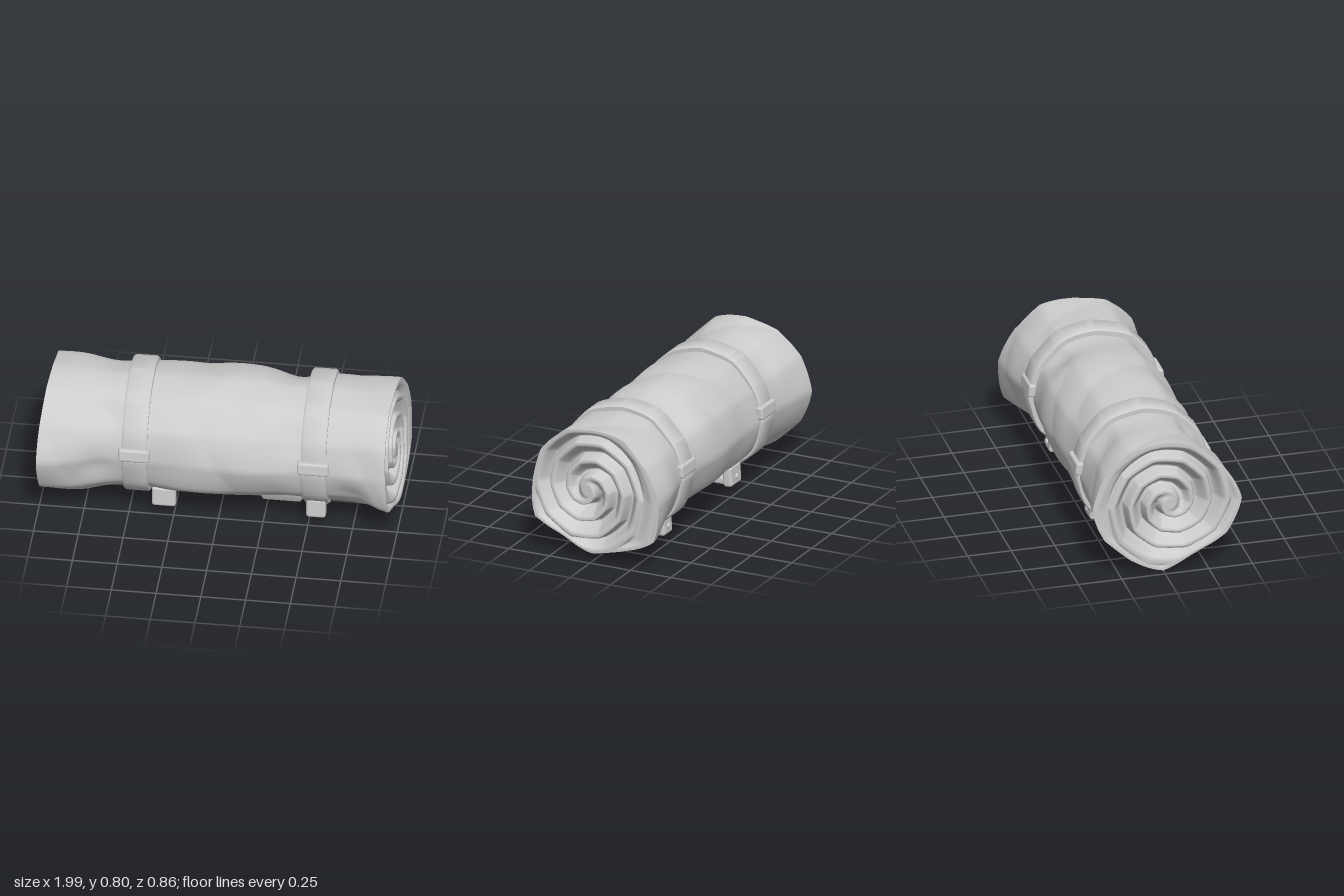
import * as THREE from 'three';
import { toCreasedNormals } from 'three/addons/utils/BufferGeometryUtils.js';
import { RoundedBoxGeometry } from 'three/addons/geometries/RoundedBoxGeometry.js';

const TAU = Math.PI * 2;
const CY = 0.41; // height of the roll's axis
const END = 0.97;
const smooth = THREE.MathUtils.smoothstep;

// Roll cross-sections: [x, radii every 30 degrees: front, up, back, down]
const SECTIONS = [
  [-0.97, [0.435, 0.40, 0.385, 0.37, 0.385, 0.39, 0.40, 0.39, 0.375, 0.41, 0.37, 0.41]],
  [-0.78, [0.40, 0.38, 0.365, 0.355, 0.375, 0.38, 0.375, 0.36, 0.345, 0.34, 0.37, 0.40]],
  [-0.6, [0.345, 0.35, 0.355, 0.345, 0.36, 0.36, 0.36, 0.35, 0.335, 0.325, 0.34, 0.35]],
  [-0.45, [0.345, 0.355, 0.36, 0.35, 0.365, 0.365, 0.36, 0.35, 0.335, 0.315, 0.33, 0.345]],
  [-0.2, [0.36, 0.37, 0.38, 0.365, 0.38, 0.375, 0.37, 0.36, 0.335, 0.305, 0.34, 0.37]],
  [0.2, [0.38, 0.37, 0.375, 0.37, 0.385, 0.385, 0.385, 0.365, 0.335, 0.305, 0.34, 0.36]],
  [0.43, [0.345, 0.35, 0.355, 0.34, 0.355, 0.355, 0.355, 0.35, 0.33, 0.31, 0.33, 0.345]],
  [0.62, [0.345, 0.355, 0.365, 0.355, 0.37, 0.37, 0.37, 0.36, 0.34, 0.32, 0.33, 0.34]],
  [0.8, [0.36, 0.365, 0.365, 0.35, 0.375, 0.385, 0.41, 0.41, 0.37, 0.35, 0.34, 0.36]],
  [0.97, [0.375, 0.38, 0.375, 0.35, 0.375, 0.385, 0.415, 0.45, 0.37, 0.355, 0.335, 0.42]],
];

// Dents in the cloth: [x, angle, depth, size]
const DENTS = [
  [-0.63, 0.8, 0.026, 0.1], [-0.68, -0.15, 0.022, 0.1], [-0.66, 2.4, 0.018, 0.12],
  [0.76, -0.45, 0.026, 0.1], [0.45, 0.55, 0.022, 0.1], [0.02, 0.65, 0.014, 0.14],
  [0.3, -0.5, 0.016, 0.12], [-0.2, 2.6, 0.013, 0.14], [0.4, 2.2, 0.016, 0.1],
];

function cubic(a, b, c, d, t) {
  return b + 0.5 * t * (c - a + t * (2 * a - 5 * b + 4 * c - d + t * (3 * (b - c) + d - a)));
}

// Half rounded, half faceted interpolation between neighbouring radii
function arc(r, k, t) {
  const r0 = r[k % 12], r1 = r[(k + 1) % 12], step = TAU / 12;
  const round = cubic(r[(k + 11) % 12], r0, r1, r[(k + 2) % 12], t);
  const chord = (r0 * r1 * Math.sin(step)) / (r0 * Math.sin(t * step) + r1 * Math.sin((1 - t) * step));
  return round * 0.5 + chord * 0.5;
}

// Radius of the cloth, with soft folds and dents
function rollRadius(theta, x) {
  const a = (((theta / TAU) * 12) % 12 + 12) % 12;
  const k = Math.floor(a);
  const around = (i) => arc(SECTIONS[Math.max(0, Math.min(SECTIONS.length - 1, i))][1], k, a - k);
  let i = 0;
  while (i < SECTIONS.length - 2 && x > SECTIONS[i + 1][0]) i++;
  const t = (x - SECTIONS[i][0]) / (SECTIONS[i + 1][0] - SECTIONS[i][0]);
  let r = cubic(around(i - 1), around(i), around(i + 1), around(i + 2), t);
  for (const [dx, dth, depth, size] of DENTS) {
    const turn = Math.atan2(Math.sin(theta - dth), Math.cos(theta - dth)) * 0.37;
    r -= depth * Math.exp(-((x - dx) ** 2 + turn ** 2) / (size * size));
  }
  const fold = Math.abs(Math.sin(2 * theta + 4 * x + Math.sin(7 * x))) - 0.4;
  return r + 0.007 * fold + 0.004 * Math.sin(5 * theta - 8 * x) * Math.sin(6 * x + theta);
}

// The open ends are cut slightly askew
function slant(theta, side) {
  const c = Math.cos(theta), s = Math.sin(theta);
  return side > 0 ? -0.022 * c - 0.018 * s : -0.005 - 0.02 * c + 0.02 * s * s;
}

// Grid surface closed around u; fn(u, v, j) returns [x, radius, theta]
function ringSurface(nu, nv, fn) {
  const pos = [], index = [];
  for (let i = 0; i < nu; i++) {
    for (let j = 0; j <= nv; j++) {
      const [x, r, th] = fn(i / nu, j / nv, j);
      pos.push(x, CY + r * Math.sin(th), r * Math.cos(th));
      if (j === nv) continue;
      const a = i * (nv + 1) + j;
      const c = ((i + 1) % nu) * (nv + 1) + j;
      index.push(a, a + 1, c, a + 1, c + 1, c);
    }
  }
  const geo = new THREE.BufferGeometry();
  geo.setAttribute('position', new THREE.Float32BufferAttribute(pos, 3));
  geo.setIndex(index);
  geo.computeVertexNormals();
  return geo;
}

function rollSide() {
  return ringSurface(96, 90, (u, v) => {
    const th = u * TAU, s = (v * 2 - 1) * END;
    return [s + slant(th, Math.sign(s)) * Math.pow(Math.abs(s) / END, 5), rollRadius(th, s), th];
  });
}

// Depth of the two interleaved spiral grooves, wound around a point off the axis
function spiralDepth(y, z) {
  const r = Math.hypot(y, z - 0.035);
  const turn = Math.atan2(y, z - 0.035) / TAU + 0.5;
  const facet = (((turn * 10) % 1) - 0.5) * (TAU / 10);
  const p = (r * (0.4 + 0.6 * Math.cos(facet)) * 1.01 - 0.13 - 0.2 * turn) / 0.1;
  const q = p - Math.floor(p);
  const groove = smooth(q, 0, 0.16) * (1 - smooth(q, 0.2, 0.85));
  return 0.08 * groove * smooth(r, 0.03, 0.1) * (1 - smooth(r, 0.28, 0.36) * 0.8);
}

function rollEnd(side) {
  return ringSurface(180, 72, (u, v) => {
    const th = u * TAU, f = side > 0 ? 1 - v : v;
    const r = f * rollRadius(th, side * END);
    const depth = spiralDepth(r * Math.sin(th), r * Math.cos(th)) * (1 - smooth(f, 0.88, 0.97));
    return [side * (END - depth) + slant(th, side) * smooth(f, 0, 1), r, th];
  });
}

// Band that hugs the roll at position x0
function strapBand(x0, w) {
  const profile = [[-w, -0.035], [-w, -0.008], [-w * 0.86, 0], [w * 0.86, 0], [w, -0.008], [w, -0.035]];
  return toCreasedNormals(ringSurface(56, profile.length - 1, (u, v, j) => {
    const th = u * TAU;
    const base = Math.max(rollRadius(th, x0), rollRadius(th, x0 - w), rollRadius(th, x0 + w));
    return [x0 + profile[j][0], base + 0.018 + 0.012 * Math.sin(th) ** 2 + profile[j][1], th];
  }), 0.7);
}

// Block whose underside is narrower than its top
function taperedBlock(w, h, d, taper) {
  const geo = new RoundedBoxGeometry(w, h, d, 2, 0.012);
  const p = geo.attributes.position;
  for (let i = 0; i < p.count; i++) {
    const k = THREE.MathUtils.lerp(taper, 1, p.getY(i) / h + 0.5);
    p.setXYZ(i, p.getX(i) * k, p.getY(i), p.getZ(i) * k);
  }
  return toCreasedNormals(geo, 0.7);
}

export function createModel() {
  const group = new THREE.Group();
  group.name = 'bedroll';
  const grey = new THREE.MeshStandardMaterial({ color: 0xcccccc });
  grey.name = 'plain grey';

  const add = (name, geo, x = 0, y = 0, z = 0, rx = 0) => {
    const mesh = new THREE.Mesh(geo, grey);
    mesh.name = name;
    mesh.position.set(x, y, z);
    mesh.rotation.x = rx;
    group.add(mesh);
  };
  const box = (w, h, d) => new RoundedBoxGeometry(w, h, d, 2, Math.min(w, h, d) * 0.3);

  // Rolled cloth
  add('rollSide', rollSide());
  add('leftRollEnd', rollEnd(1));
  add('rightRollEnd', rollEnd(-1));

  // Straps with a buckle front and back
  for (const [name, x] of [['right', -0.457], ['left', 0.543]]) {
    add(name + 'Strap', strapBand(x, 0.07));
    for (const s of [1, -1]) {
      add(name + 'Buckle', box(0.175, 0.075, 0.045), x, 0.468, s * 0.367, -s * 0.1);
    }
  }

  // Hanging strap ends, riveted at the back
  for (const [name, x, w] of [['right', -0.305, 0.135], ['left', 0.545, 0.11]]) {
    for (const s of [1, -1]) {
      add(name + 'StrapEnd', box(w, 0.12, 0.055), x, 0.115, s * 0.232, -s * 0.06);
    }
    add(name + 'Rivet', new THREE.CylinderGeometry(0.015, 0.018, 0.02, 10), x, 0.105, -0.262, -Math.PI / 2);
  }

  // Tongue and pad beneath the roll
  add('rightTongue', box(0.115, 0.045, 0.46), -0.305, 0.085, 0);
  add('underPad', taperedBlock(0.27, 0.08, 0.26, 0.78), 0.335, 0.08, 0);
  return group;
}
